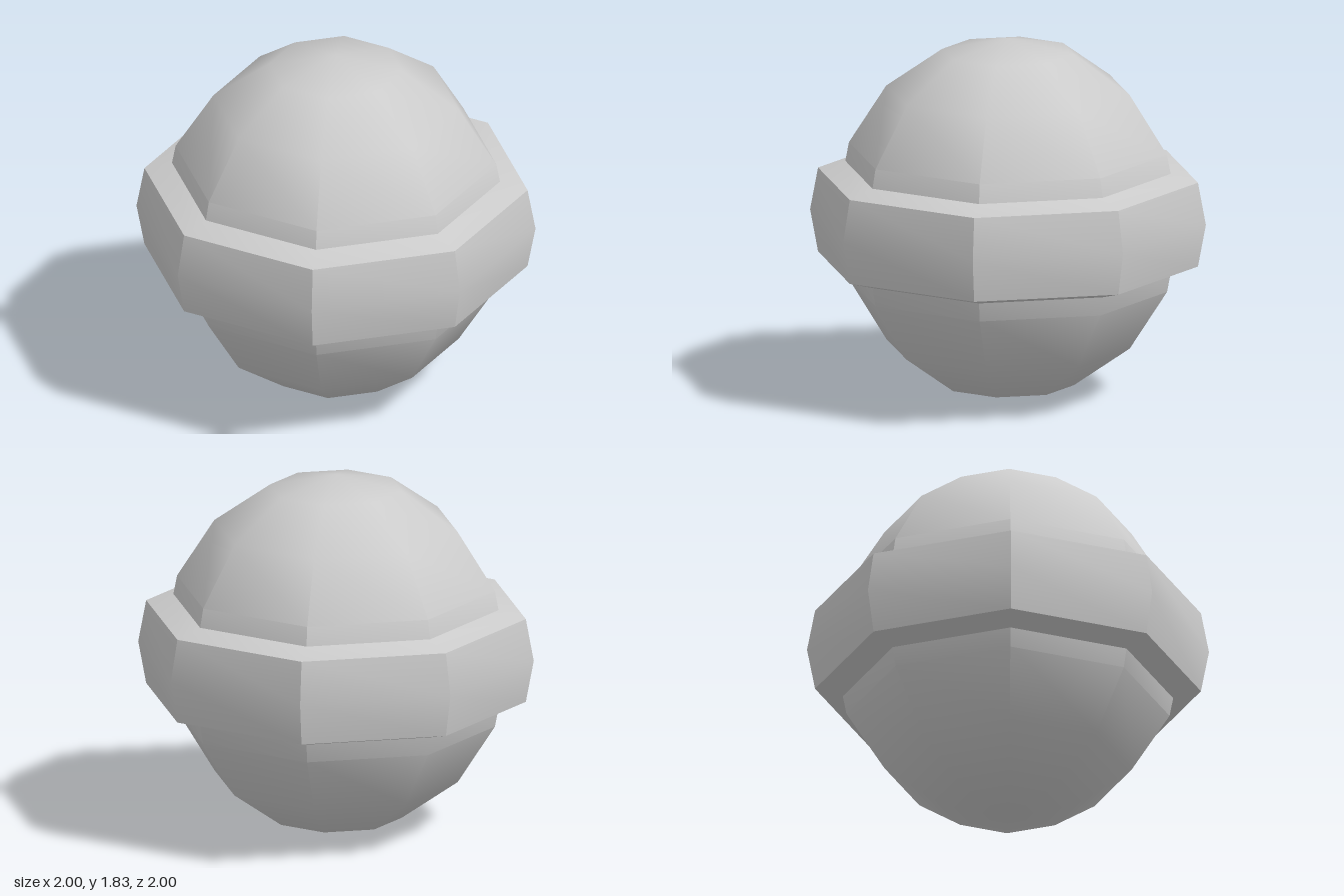
import * as THREE from 'three';
import { toCreasedNormals } from 'three/addons/utils/BufferGeometryUtils.js';

const SIDES = 8;
const CENTER_Y = 0.917;
const CREASE = THREE.MathUtils.degToRad(40);

export function createModel() {
  const model = new THREE.Group();
  model.name = 'bandedBall';
  const material = new THREE.MeshStandardMaterial({ color: 0xcccccc });

  const addPart = (name, geometry) => {
    const mesh = new THREE.Mesh(toCreasedNormals(geometry, CREASE), material);
    mesh.name = name;
    mesh.position.y = CENTER_Y;
    model.add(mesh);
  };

  // Slightly tall eight-sided ball
  const ball = new THREE.SphereGeometry(1, SIDES, 8);
  ball.scale(0.87, 0.915, 0.87);
  addPart('ball', ball);

  // Octagonal belt: bulged outer wall, sloped top and bottom faces sunk into the ball
  const profile = [
    [0.8, -0.26], [0.96, -0.214], [1, 0], [0.96, 0.214], [0.8, 0.26],
  ].map(([r, y]) => new THREE.Vector2(r, y));
  addPart('belt', new THREE.LatheGeometry(profile, SIDES));

  return model;
}
